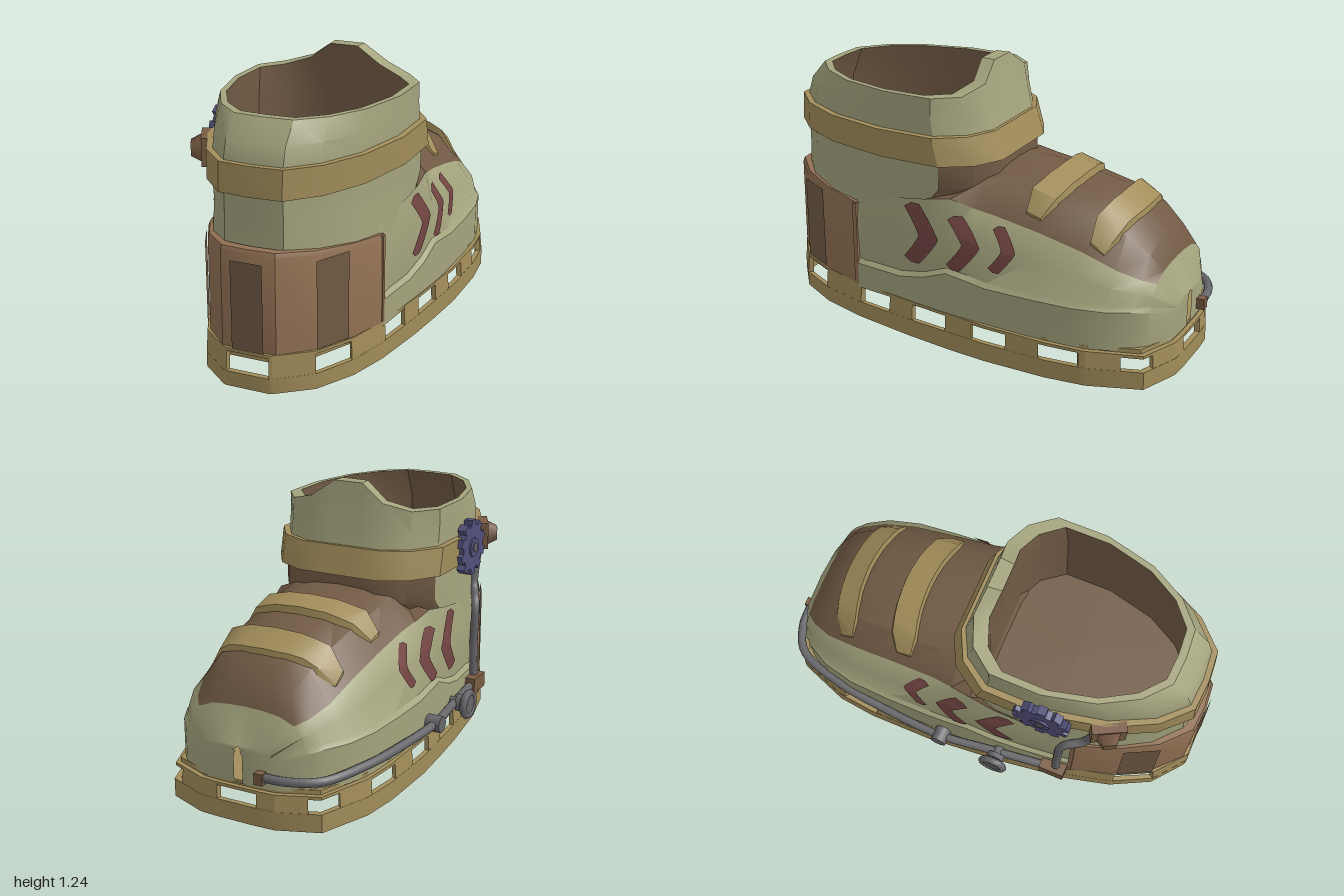
import * as THREE from 'three';
import { toCreasedNormals, mergeGeometries } from 'three/addons/utils/BufferGeometryUtils.js';

const CX = 0.03; // the boot sits slightly off centre because of the side fittings
const lerp = (a, b, t) => a + (b - a) * t;

function paint(name, hex) {
  const m = new THREE.MeshStandardMaterial({ color: hex, side: THREE.DoubleSide });
  m.name = name;
  return m;
}

// Skin rings of [x, y, z]; pick(i, j) gives the material index of each quad, or -1 for none
function loft(rings, { closed = true, pick = () => 0, crease = 0.55 } = {}) {
  const n = rings[0].length, buckets = [];
  for (let i = 0; i < rings.length - 1; i++)
    for (let j = 0; j < (closed ? n : n - 1); j++) {
      const k = pick(i, j);
      if (k < 0) continue;
      const a = i * n + j, b = i * n + (j + 1) % n, c = b + n, d = a + n;
      (buckets[k] ??= []).push(a, b, d, b, c, d);
    }
  const geo = new THREE.BufferGeometry();
  geo.setAttribute('position', new THREE.Float32BufferAttribute(rings.flat(2), 3));
  geo.setIndex(buckets.flat());
  let start = 0;
  buckets.forEach((list, k) => { geo.addGroup(start, list.length, k); start += list.length; });
  return toCreasedNormals(geo, crease);
}

// Half outline (first and last on the centre line) to full loop
const mirror = (half) => [...half, ...half.slice(1, -1).reverse().map(([x, ...r]) => [-x, ...r])];
const centre = (ring) => [0, 1, 2].map((k) => ring.reduce((s, p) => s + p[k], 0) / ring.length);
const collapse = (ring) => ring.map(() => centre(ring));
const capped = (rings) => [collapse(rings[0]), ...rings, collapse(rings.at(-1))];

// Foot sections from toe to ankle: z, half width, ledge height, panel edge x and y, top height
const FOOT = [
  [-0.965, 0.02, 0.29, 0.01, 0.32, 0.33], [-0.96, 0.17, 0.29, 0.13, 0.325, 0.335],
  [-0.9, 0.3, 0.335, 0.23, 0.44, 0.48], [-0.85, 0.345, 0.345, 0.27, 0.46, 0.58],
  [-0.75, 0.4, 0.345, 0.31, 0.5, 0.675], [-0.6, 0.435, 0.345, 0.33, 0.56, 0.73],
  [-0.4, 0.445, 0.345, 0.34, 0.61, 0.77], [-0.2, 0.445, 0.345, 0.35, 0.65, 0.79],
  [-0.1, 0.445, 0.36, 0.365, 0.67, 0.8], [0, 0.44, 0.37, 0.385, 0.7, 0.72],
  [0.12, 0.43, 0.32, 0.395, 0.68, 0.4], [0.25, 0.415, 0.29, 0.39, 0.66, 0.35],
  [0.5, 0.39, 0.29, 0.365, 0.62, 0.35],
];
function footHalf([z, w, led, xb, yb, top]) {
  const x1 = w - Math.min(0.018, w / 2), y1 = led + 0.02;
  return [[0, 0.17, z], [w, 0.17, z], [w, led, z], [x1, y1, z],
    [lerp(x1, xb, 0.5) + 0.016, lerp(y1, yb, 0.55), z], [xb, yb, z],
    [xb * 0.7, lerp(yb, top, 0.7), z], [xb * 0.35, lerp(yb, top, 0.94), z], [0, top, z]];
}
function footAt(z) {
  const i = Math.max(0, Math.min(FOOT.length - 2, FOOT.findIndex((k) => k[0] > z) - 1));
  const t = (z - FOOT[i][0]) / (FOOT[i + 1][0] - FOOT[i][0]);
  return footHalf(FOOT[i].map((v, k) => lerp(v, FOOT[i + 1][k], t)));
}
// Read coordinate b where coordinate a of a polyline reaches v
function along(pts, a, b, v) {
  for (let i = 0; i < pts.length - 1; i++) {
    const p = pts[i][a], q = pts[i + 1][a];
    if ((p - v) * (q - v) <= 0 && p !== q) return lerp(pts[i][b], pts[i + 1][b], (v - p) / (q - p));
  }
  return pts.at(-1)[b];
}
const sideX = (y, z) => along(footAt(z).slice(2, 6), 1, 0, y);
const topY = (x, z) => along(footAt(z).slice(4), 0, 1, Math.abs(x));

// Shaft outline: x, fraction from heel to front, share of the tongue peak
const SHAFT = [[0, 0, 0], [0.13, 0.01, 0], [0.24, 0.12, 0], [0.33, 0.3, 0], [0.385, 0.56, 0],
  [0.383, 0.82, 0], [0.3, 0.94, 0], [0.18, 1, 0.3], [0.07, 1, 1], [0, 1, 1]];
const shaftRing = (y, back, front, s, peak = 0) =>
  mirror(SHAFT.map(([x, t, p]) => [x * s, y + p * peak, lerp(back, front, t) + p * peak * 0.2]));

// Sole outline and the openings in its rim
const HOLES = [[0.88, 0.71], [0.48, 0.31], [0.18, 0], [-0.14, -0.31], [-0.47, -0.65], [-0.82, -0.93]];
const SOLE = [[0, 1], [0.095, 1], [0.11, 0.995], [0.25, 0.88], [0.34, 0.7], [0.39, 0.5], [0.43, 0.2],
  [0.465, -0.2], [0.465, -0.5], [0.445, -0.68], [0.36, -0.91], [0.18, -0.98], [0.095, -0.985], [0, -0.985]];
const isHole = (x, z) => (Math.abs(x) < 0.095 && Math.abs(z) > 0.95) || HOLES.some(([a, b]) => z < a && z > b);

export function createModel() {
  const green = paint('sage', 0xa4a47e), brown = paint('dark brown', 0x715a44), heelBrown = paint('leather brown', 0x917053);
  const tan = paint('tan', 0xa28d5a), red = paint('dark red', 0x744644), grey = paint('pipe grey', 0x67676b);
  const slate = paint('slate blue', 0x52507a), clasp = paint('clasp brown', 0x795b43);
  const model = new THREE.Group(), boot = new THREE.Group();
  boot.name = 'boot';
  boot.position.x = CX;
  model.add(boot);
  const add = (name, geo, mat, parent = boot, pos = [0, 0, 0]) => {
    const m = new THREE.Mesh(geo, mat);
    m.name = name;
    m.position.set(...pos);
    parent.add(m);
    return m;
  };

  // Foot, with the dark instep panel as its upper columns
  add('foot', loft(FOOT.map((k) => mirror(footHalf(k))), { pick: (i, j) => (i >= 2 && j >= 5 && j <= 10 ? 1 : 0) }), [green, brown]);

  // Hollow shaft: outside, rim, lining and floor
  const shaft = [[0.17, 0.95, 0.1, 0.98], [0.6, 0.93, 0, 1], [0.73, 0.925, -0.13, 1], [0.86, 0.925, -0.13, 1],
    [0.91, 0.925, -0.115, 1], [0.97, 0.92, -0.1, 1], [1.05, 0.895, -0.08, 1], [1.135, 0.82, -0.065, 1, 0.11],
    [1.135, 0.785, 0, 0.92, 0.11], [1, 0.84, 0.01, 0.92], [0.64, 0.85, 0.02, 0.92]].map((r) => shaftRing(...r));
  shaft.push(collapse(shaft.at(-1)));
  add('shaft', loft(shaft, { pick: (i, j) => (i >= 8 || (i < 4 && j >= 5 && j <= 12) ? 1 : 0) }), [green, brown]);

  // Ankle strap
  add('ankleStrap', loft([[0.845, 0.92, -0.1, 0.98], [0.845, 0.955, -0.155, 1.075], [0.97, 0.945, -0.115, 1.075],
    [0.97, 0.91, -0.07, 0.98]].map((r) => shaftRing(...r))), tan);

  // Heel guard, open towards the toe
  const guard = [[0.39, 0.49], [0.33, 0.69], [0.24, 0.86], [0.12, 0.975], [0, 0.985]];
  const guardPath = [...guard.slice(0, -1).map(([x, z]) => [-x, z]), ...[...guard].reverse()];
  const guardTop = (z) => lerp(0.585, 0.635, (z - 0.49) / 0.5);
  const guardRing = (s, f) => guardPath.map(([x, z]) => [x * s, f(z), 0.3 + (z - 0.3) * s]);
  add('heelGuard', loft([guardRing(0.97, () => 0.19), guardRing(1.005, () => 0.19), guardRing(1, (z) => guardTop(z) - 0.02),
    guardRing(0.985, guardTop), guardRing(0.93, guardTop)], { closed: false }), heelBrown);
  for (const s of [-1, 1])
    add('guardEnd', new THREE.BoxGeometry(0.03, 0.385, 0.02), heelBrown, boot, [s * 0.376, 0.39, 0.5]);

  // Dark stripes on the heel guard
  const stripes = [[[-0.07, 0.99], [0.07, 0.99]], [[0.247, 0.864], [0.322, 0.714]], [[-0.322, 0.714], [-0.247, 0.864]]];
  for (const ends of stripes)
    add('heelStripe', loft([0.2, 0.585].map((y) => ends.map(([x, z]) => [x * 1.01, y, z + 0.003])), { closed: false }), brown);

  // Chevrons on both sides, laid onto the foot surface
  for (const s of [1, -1])
    for (const [back, tip, y0, y1, w] of [[0.2, 0.04, 0.375, 0.655, 0.1], [-0.02, -0.16, 0.39, 0.635, 0.085], [-0.22, -0.325, 0.42, 0.615, 0.065]]) {
      const rows = [];
      for (let k = 0; k <= 12; k++) {
        const u = k / 12, bend = Math.abs(u * 2 - 1), y = lerp(y0, y1, u);
        const front = lerp(tip, back - w * 0.55, Math.pow(bend, 1.2));
        const width = w * (bend > 0.95 ? 0.45 : 1);
        rows.push([front + width, front + width / 2, front].map((z) => [s * (sideX(y, z) + 0.008), y, z]));
      }
      add('sideChevron', loft(rows, { closed: false }), red);
    }

  // Two raised straps over the instep
  for (const [zc, half, wide] of [[-0.415, 0.305, 0.14], [-0.71, 0.3, 0.125]]) {
    const rings = [];
    for (let k = -5; k <= 5; k++) {
      const u = k / 5, x = u * half, z = zc + 0.055 * u * u, w = wide * (Math.abs(u) === 1 ? 0.3 : 0.5);
      const h = Math.abs(u) === 1 ? 0.012 : 0.036;
      const yb = topY(x, z + w), yf = topY(x, z - w);
      rings.push([[x, yf - 0.03, z - w], [x, yf + h * 0.9, z - w * 0.8], [x, yb + h, z + w * 0.8], [x, yb - 0.03, z + w]]);
    }
    add('instepStrap', loft(capped(rings)), tan);
  }

  // Sole plate and its pierced rim
  const half = [...SOLE];
  for (const z of HOLES.flat()) half.push([along(SOLE.slice(1, -1), 1, 0, z), z]);
  half.sort((a, b) => b[1] - a[1] || (b[1] > 0 ? a[0] - b[0] : b[0] - a[0]));
  const loop = mirror(half);
  const rimRing = (s, f) => loop.map(([x, z]) => [x * s, f(z), z * (0.5 + s / 2)]);
  const low = (z) => 0.008 + 0.026 * Math.max(0, z), sill = (z) => 0.088 + 0.006 * (z + 1);
  const high = (z) => 0.16 + 0.02 * (z + 1);
  const plate = [rimRing(0.95, () => 0.16), rimRing(0.95, () => 0.182)];
  add('sole', loft(capped(plate)), tan);
  const rail = (a, b, s) => {
    const r = [rimRing(s - 0.05, a), rimRing(s, a), rimRing(s, b), rimRing(s - 0.05, b)];
    return loft([...r, r[0]]);
  };
  add('rimRail', rail(low, sill, 1.005), tan);
  add('rimTop', rail((z) => high(z) - 0.014, high, 0.99), tan);
  const posts = [];
  loop.forEach((p, j) => {
    const q = loop[(j + 1) % loop.length];
    if (isHole((p[0] + q[0]) / 2, (p[1] + q[1]) / 2)) return;
    const slice = ([x, z]) => [[0.99, high(z) - 0.002], [1.005, sill(z) - 0.01], [0.955, sill(z) - 0.01], [0.945, high(z) - 0.002]]
      .map(([s, y]) => [x * s, y, z * (0.5 + s / 2)]);
    posts.push(loft(capped([slice(p), slice(q)])));
  });
  add('rimPosts', mergeGeometries(posts), tan);

  // Pipes along the left-hand side of the picture plane (model -x)
  const fittings = new THREE.Group();
  fittings.name = 'sideFittings';
  model.add(fittings);
  const tube = (name, pts) => add(name, new THREE.TubeGeometry(
    new THREE.CatmullRomCurve3(pts.map((p) => new THREE.Vector3(...p)), false, 'centripetal'), 48, 0.02, 8), grey, fittings);
  tube('lowerPipe', [[-0.09, 0.225, -0.975], [-0.2, 0.225, -0.965], [-0.32, 0.225, -0.9], [-0.4, 0.225, -0.68],
    [-0.435, 0.22, -0.4], [-0.45, 0.22, -0.12], [-0.425, 0.22, 0.1], [-0.39, 0.22, 0.4]]);
  tube('upperPipe', [[-0.33, 0.9, 0.6], [-0.325, 0.8, 0.58], [-0.325, 0.67, 0.55], [-0.34, 0.645, 0.53], [-0.37, 0.62, 0.47],
    [-0.38, 0.58, 0.45], [-0.38, 0.4, 0.44], [-0.385, 0.22, 0.44]]);
  add('pipeEnd', new THREE.BoxGeometry(0.04, 0.05, 0.045), clasp, fittings, [-0.085, 0.222, -0.976]);
  add('pipeJoint', new THREE.BoxGeometry(0.07, 0.07, 0.12), clasp, fittings, [-0.385, 0.225, 0.43]);
  const disc = (name, r, len, mat, pos, sides = 16) =>
    add(name, new THREE.CylinderGeometry(r, r, len, sides).rotateZ(Math.PI / 2), mat, fittings, pos);
  disc('pipeValve', 0.038, 0.07, grey, [-0.45, 0.22, -0.12], 10);

  // Hand wheel on a stem
  disc('wheelStem', 0.025, 0.1, grey, [-0.435, 0.22, 0.16], 8);
  disc('wheelCollar', 0.042, 0.025, grey, [-0.445, 0.22, 0.16], 8);
  disc('wheelDisc', 0.055, 0.02, grey, [-0.483, 0.22, 0.16]);
  add('wheelRim', new THREE.TorusGeometry(0.054, 0.017, 6, 16).rotateY(Math.PI / 2), grey, fittings, [-0.483, 0.22, 0.16]);

  // Toothed wheel on the ankle strap
  const gear = [-0.385, 0.91, 0.35];
  disc('gearDisc', 0.105, 0.04, slate, gear, 20);
  disc('gearHub', 0.045, 0.056, slate, gear, 12);
  disc('gearAxle', 0.022, 0.064, grey, gear, 8);
  for (let k = 0; k < 10; k++) {
    const tooth = new THREE.BoxGeometry(0.04, 0.04, 0.04).translate(0, 0.108, 0).rotateX((k * Math.PI) / 5);
    add('gearTooth', tooth, slate, fittings, gear);
  }

  // Clasp where the upper pipe meets the strap
  const buckle = new THREE.Group();
  buckle.name = 'strapClasp';
  buckle.position.set(-0.325, 0.908, 0.63);
  buckle.rotation.y = -1.1;
  fittings.add(buckle);
  add('claspPlate', new THREE.BoxGeometry(0.15, 0.124, 0.05), clasp, buckle);
  add('claspBlock', new THREE.CylinderGeometry(0.04, 0.07, 0.05, 4).rotateY(Math.PI / 4).rotateX(Math.PI / 2), clasp, buckle, [0, 0, 0.045]);
  return model;
}
